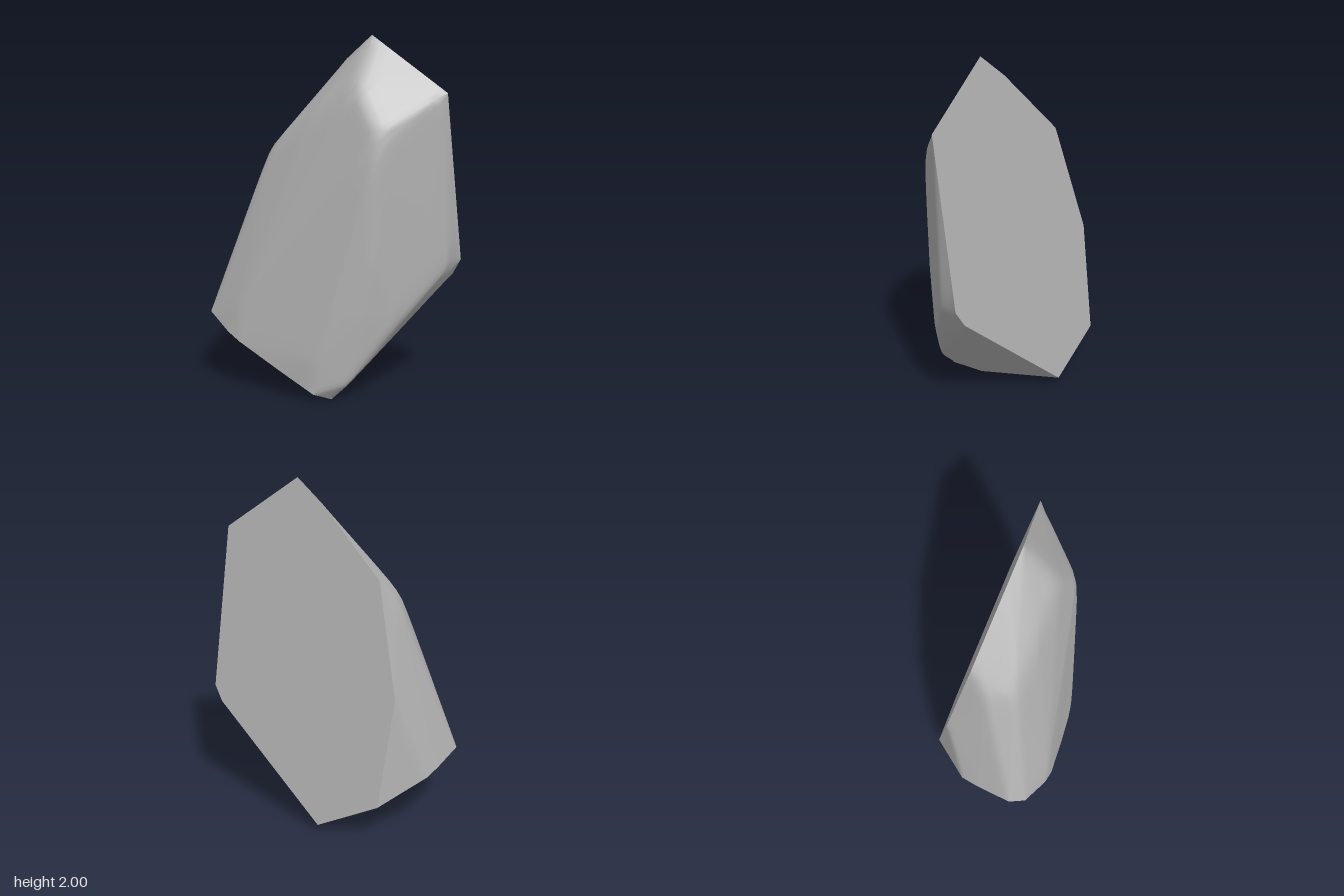
import * as THREE from 'three';
import { ConvexGeometry } from 'three/addons/geometries/ConvexGeometry.js';
import { mergeVertices, toCreasedNormals } from 'three/addons/utils/BufferGeometryUtils.js';

// The two flat cuts of the stone
const backZ = (x, y) => 0.487 * x + 0.193 * y - 0.368;
const baseY = (x, z) => 0.056 - 0.505 * x - 0.143 * z;

// Split every triangle of a non-indexed position list into four
function subdivide(points) {
  const out = [];
  for (let i = 0; i < points.length; i += 3) {
    const [a, b, c] = points.slice(i, i + 3);
    const mid = (p, q) => p.clone().add(q).multiplyScalar(0.5);
    const ab = mid(a, b), bc = mid(b, c), ca = mid(c, a);
    out.push(a, ab, ca, ab, b, bc, ca, bc, c, ab, bc, ca);
  }
  return out;
}

// Wear down the edges, leaving the two flat cuts as they are
function soften(geometry, passes) {
  const pos = geometry.attributes.position, index = geometry.index.array;
  const near = Array.from({ length: pos.count }, () => new Set());
  for (let i = 0; i < index.length; i += 3) {
    for (let k = 0; k < 3; k++) {
      const a = index[i + k], b = index[i + (k + 1) % 3];
      near[a].add(b);
      near[b].add(a);
    }
  }
  for (let pass = 0; pass < passes; pass++) {
    const old = Array.from({ length: pos.count }, (_, i) => new THREE.Vector3().fromBufferAttribute(pos, i));
    old.forEach((p, i) => {
      if (Math.abs(p.z - backZ(p.x, p.y)) < 0.006 || Math.abs(p.y - baseY(p.x, p.z)) < 0.006) return;
      const mean = new THREE.Vector3();
      near[i].forEach((j) => mean.add(old[j]));
      mean.divideScalar(near[i].size).lerp(p, 0.5);
      pos.setXYZ(i, mean.x, mean.y, mean.z);
    });
  }
}

export function createModel() {
  const group = new THREE.Group();
  group.name = 'rock';
  const stone = new THREE.MeshStandardMaterial({ color: 0xb0b0b0 });
  stone.name = 'grey stone';

  // Outline of the flat back (x, y)
  const back = [
    [0.21, 2], [0.62, 1.69], [0.67, 1.22], [0.72, 0.75], [0.68, 0.66], [0.1, 0.05],
    [-0.24, 0.24], [-0.33, 0.87], [-0.28, 1.2], [-0.24, 1.5], [0, 1.78], [0.07, 1.87],
  ].map(([x, y]) => [x, y, backZ(x, y)]);

  // Outline of the slanted base (x, z)
  const base = [
    [-0.53, -0.31], [-0.6, -0.22], [-0.72, -0.04], [-0.72, 0.06], [-0.6, 0.2],
    [-0.53, 0.25], [-0.3, 0.35], [-0.1, 0.43], [0, 0.38], [0.06, 0.18],
  ].map(([x, z]) => [x, baseY(x, z), z]);

  // Corners of the worn front and left faces
  const front = [
    [0.12, 1.73, 0.3], [0.24, 1.48, 0.425], [0.4, 1.58, 0.345],      // top facet
    [-0.37, 1.36, 0.03], [-0.36, 1.35, -0.13], [-0.13, 1.56, 0.17],  // left shoulder
    [0.25, 1.38, 0.437], [0.22, 0.8, 0.44], [0.17, 0.5, 0.44],       // front ridge
    [0.05, 1.3, 0.36], [0, 0.8, 0.38], [-0.08, 0.25, 0.437],         // soft front bulge
    [-0.52, 0.5, 0.225], [-0.49, 0.97, 0.04],                        // left front
    [0.64, 0.73, 0.24], [0.36, 0.43, 0.37], [0.1, 0.11, 0.43],       // lower right ridge
  ];

  const hull = new ConvexGeometry([...back, ...base, ...front].map((p) => new THREE.Vector3(...p)));
  const hullPos = hull.attributes.position;
  let points = Array.from({ length: hullPos.count }, (_, i) => new THREE.Vector3().fromBufferAttribute(hullPos, i));
  for (let i = 0; i < 3; i++) points = subdivide(points);

  const geometry = mergeVertices(new THREE.BufferGeometry().setFromPoints(points), 1e-4);
  soften(geometry, 2);

  const mesh = new THREE.Mesh(toCreasedNormals(geometry, 0.5), stone);
  mesh.name = 'boulder';
  group.add(mesh);
  return group;
}
